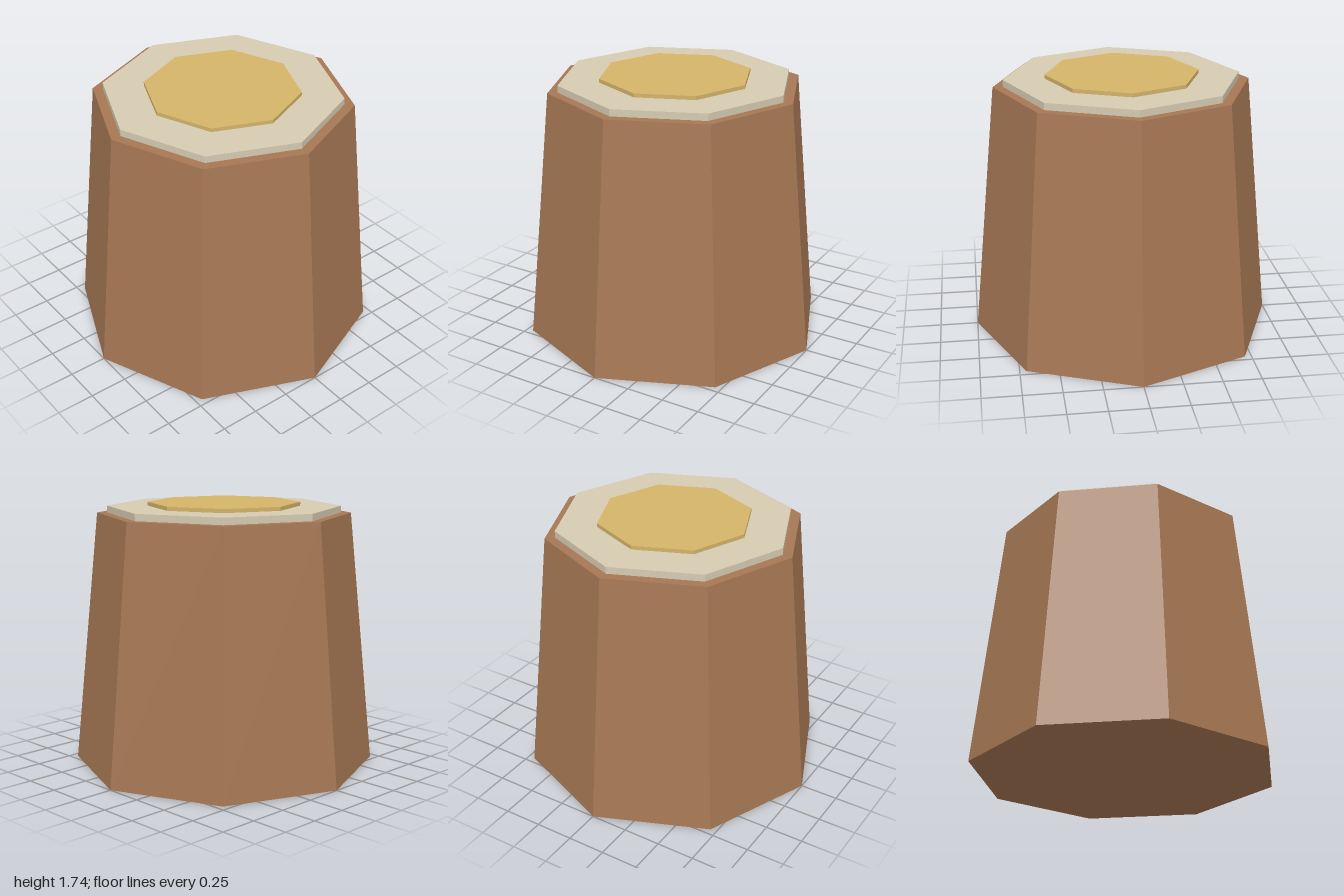
import * as THREE from 'three';

const flat = (name, color) => {
  const material = new THREE.MeshStandardMaterial({ color, flatShading: true });
  material.name = name;
  return material;
};

export function createModel() {
  const group = new THREE.Group();
  group.name = 'stump';

  // Stacked eight-sided layers, each resting on the one below
  const layers = [
    { name: 'trunk', top: 0.833, bottom: 1, height: 1.667, material: flat('bark brown', 0xa67753) },
    { name: 'cutFace', top: 0.767, bottom: 0.767, height: 0.045, material: flat('pale wood', 0xd6cbb2) },
    { name: 'heartwood', top: 0.5, bottom: 0.5, height: 0.025, material: flat('golden wood', 0xd4b469) },
  ];

  let y = 0;
  for (const { name, top, bottom, height, material } of layers) {
    const mesh = new THREE.Mesh(new THREE.CylinderGeometry(top, bottom, height, 8), material);
    mesh.name = name;
    mesh.position.y = y + height / 2;
    y += height;
    group.add(mesh);
  }
  return group;
}
